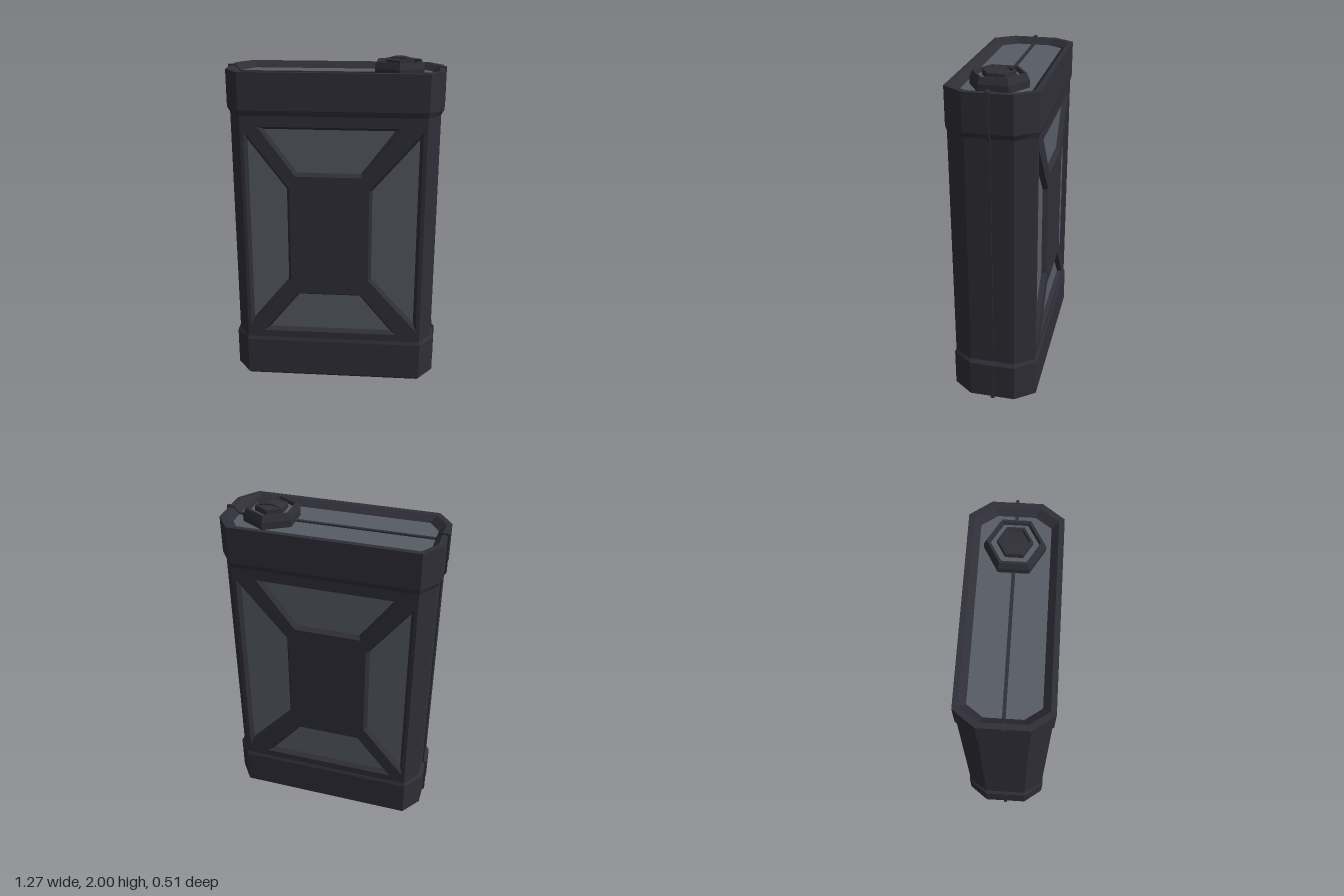
import * as THREE from 'three';

const dark = new THREE.MeshStandardMaterial({ color: 0x302f38 });
dark.name = 'dark casing';
const grey = new THREE.MeshStandardMaterial({ color: 0x575c65 });
grey.name = 'grey panel';

// Flat-shaded copy of a geometry
function flat(geo) {
  const g = geo.index ? geo.toNonIndexed() : geo;
  g.computeVertexNormals();
  return g;
}

function fromPositions(pos) {
  const g = new THREE.BufferGeometry();
  g.setAttribute('position', new THREE.Float32BufferAttribute(pos, 3));
  g.computeVertexNormals();
  return g;
}

// Mirrors front to back and restores the winding
function mirrorZ(geo) {
  const src = flat(geo).attributes.position;
  const pos = [];
  for (let i = 0; i < src.count; i += 3) {
    for (const k of [i, i + 2, i + 1]) pos.push(src.getX(k), src.getY(k), -src.getZ(k));
  }
  return fromPositions(pos);
}

// Octagonal ring: y, half width, half depth, half front flat, half side flat
function ring([y, x, z, cx, cz]) {
  return [[x, cz], [x, -cz], [cx, -z], [-cx, -z], [-x, -cz], [-x, cz], [-cx, z], [cx, z]]
    .map(([px, pz]) => [px, y, pz]);
}

// Skins a stack of rings, optionally leaving out some sides
function loft(sections, skip = []) {
  const rings = sections.map(ring);
  const pos = [];
  for (let j = 0; j + 1 < rings.length; j++) {
    for (let i = 0; i < 8; i++) {
      if (skip.includes(i)) continue;
      const n = (i + 1) % 8;
      const a = rings[j][i], b = rings[j][n], c = rings[j + 1][n], d = rings[j + 1][i];
      pos.push(...a, ...b, ...c, ...a, ...c, ...d);
    }
  }
  return fromPositions(pos);
}

// Moves every edge of a convex counter-clockwise polygon inwards
function inset(pts, w) {
  const n = pts.length;
  const edge = (i) => {
    const a = pts[i % n], b = pts[(i + 1) % n];
    const dx = b[0] - a[0], dy = b[1] - a[1], l = Math.hypot(dx, dy);
    return { nx: -dy / l, ny: dx / l };
  };
  return pts.map((p, i) => {
    const e = edge(i + n - 1), f = edge(i);
    const k = w / (1 + e.nx * f.nx + e.ny * f.ny);
    return [p[0] + k * (e.nx + f.nx), p[1] + k * (e.ny + f.ny)];
  });
}

const toPath = (pts, Type) => new Type(pts.map(([x, y]) => new THREE.Vector2(x, y)));

export function createModel() {
  const model = new THREE.Group();
  model.name = 'fuelCan';
  const add = (name, geo, mat, parent = model) => {
    const m = new THREE.Mesh(geo, mat);
    m.name = name;
    parent.add(m);
    return m;
  };

  // Lower and upper bands, each with a recessed end
  add('lowerBand', loft([
    [0.045, 0, 0, 0, 0],
    [0.045, 0.56, 0.187, 0.5, 0.1],
    [0.012, 0.585, 0.215, 0.515, 0.115],
    [0.012, 0.605, 0.235, 0.53, 0.125],
    [0.03, 0.627, 0.253, 0.54, 0.135],
    [0.26, 0.627, 0.253, 0.54, 0.135],
    [0.28, 0.61, 0.245, 0.535, 0.132],
  ]), dark);
  add('upperBand', loft([
    [1.69, 0.61, 0.245, 0.535, 0.132],
    [1.72, 0.627, 0.253, 0.54, 0.135],
    [1.935, 0.627, 0.253, 0.54, 0.135],
    [1.935, 0.597, 0.224, 0.525, 0.12],
    [1.9, 0.562, 0.187, 0.5, 0.1],
  ]), dark);
  add('topPanel', loft([
    [1.9, 0.562, 0.187, 0.5, 0.1],
    [1.9, 0, 0, 0, 0],
  ]), grey);

  // Middle walls without the broad faces
  add('sideWalls', loft([
    [0.28, 0.61, 0.245, 0.535, 0.132],
    [1.69, 0.61, 0.245, 0.535, 0.132],
  ], [2, 6]), dark);

  // Recessed panels around the cross rib, counter-clockwise
  const panels = {
    upper: [[-0.22, 1.335], [0.17, 1.335], [0.39, 1.627], [-0.435, 1.627]],
    lower: [[-0.435, 0.325], [0.39, 0.325], [0.17, 0.592], [-0.22, 0.592]],
    right: [[-0.515, 0.352], [-0.256, 0.67], [-0.256, 1.26], [-0.515, 1.6]],
    left: [[0.512, 0.352], [0.512, 1.61], [0.211, 1.26], [0.211, 0.69]],
  };
  const faceZ = 0.245, floorZ = 0.217;
  const face = toPath([[-0.535, 0.28], [0.535, 0.28], [0.535, 1.69], [-0.535, 1.69]], THREE.Shape);
  const bevel = [];
  const floors = {};
  for (const [name, outer] of Object.entries(panels)) {
    const inner = inset(outer, 0.018);
    face.holes.push(toPath(outer, THREE.Path));
    floors[name] = flat(new THREE.ShapeGeometry(toPath(inner, THREE.Shape)).translate(0, 0, floorZ));
    outer.forEach((p, i) => {
      const n = (i + 1) % outer.length;
      const a = [...p, faceZ], b = [...outer[n], faceZ];
      const c = [...inner[n], floorZ], d = [...inner[i], floorZ];
      bevel.push(...a, ...b, ...c, ...a, ...c, ...d);
    });
  }
  const faceGeo = flat(new THREE.ShapeGeometry(face).translate(0, 0, faceZ));
  const bevelGeo = fromPositions(bevel);
  for (const side of ['front', 'back']) {
    const g = new THREE.Group();
    g.name = side + 'Face';
    model.add(g);
    const place = (geo) => (side === 'front' ? geo : mirrorZ(geo));
    add(side + 'CrossRib', place(faceGeo), dark, g);
    add(side + 'PanelBevels', place(bevelGeo), dark, g);
    for (const name in floors) add(`${side}${name}Panel`, place(floors[name]), grey, g);
  }

  // Moulding seam running round the centre line
  const half = [[0.56, 0.036], [0.585, 0], [0.61, 0], [0.637, 0.026], [0.637, 0.268], [0.618, 0.288],
    [0.618, 1.682], [0.637, 1.712], [0.637, 1.945], [0.595, 1.945], [0.56, 1.908]];
  const outline = [...half, ...half.map(([x, y]) => [-x, y]).reverse()];
  const seam = new THREE.ExtrudeGeometry(toPath(outline, THREE.Shape), { depth: 0.018, bevelEnabled: false });
  add('seam', flat(seam.translate(0, 0, -0.009)), dark);

  // Hexagonal filler cap
  const cap = new THREE.Group();
  cap.name = 'fillerCap';
  cap.position.x = 0.367;
  model.add(cap);
  const hex = (profile) => flat(new THREE.LatheGeometry(profile.map(([r, y]) => new THREE.Vector2(r, y)), 6));
  add('capCollar', hex([[0.163, 1.89], [0.163, 1.94], [0.147, 1.976], [0.133, 1.976], [0.126, 1.955]]), dark, cap);
  add('capRecess', hex([[0.126, 1.955], [0.094, 1.955]]), grey, cap);
  add('capPlug', hex([[0.094, 1.955], [0.092, 1.985], [0.078, 1.987], [0.072, 1.972], [0, 1.972]]), dark, cap);

  // Arched finger grip
  const arch = new THREE.Shape();
  arch.moveTo(-0.074, 1.982);
  arch.lineTo(-0.06, 1.982);
  arch.quadraticCurveTo(0, 2.002, 0.06, 1.982);
  arch.lineTo(0.074, 1.982);
  arch.quadraticCurveTo(0, 2.018, -0.074, 1.982);
  const grip = new THREE.ExtrudeGeometry(arch, { depth: 0.074, bevelEnabled: false, curveSegments: 6 });
  add('capGrip', flat(grip.translate(0, 0, -0.037)), dark, cap);

  return model;
}
